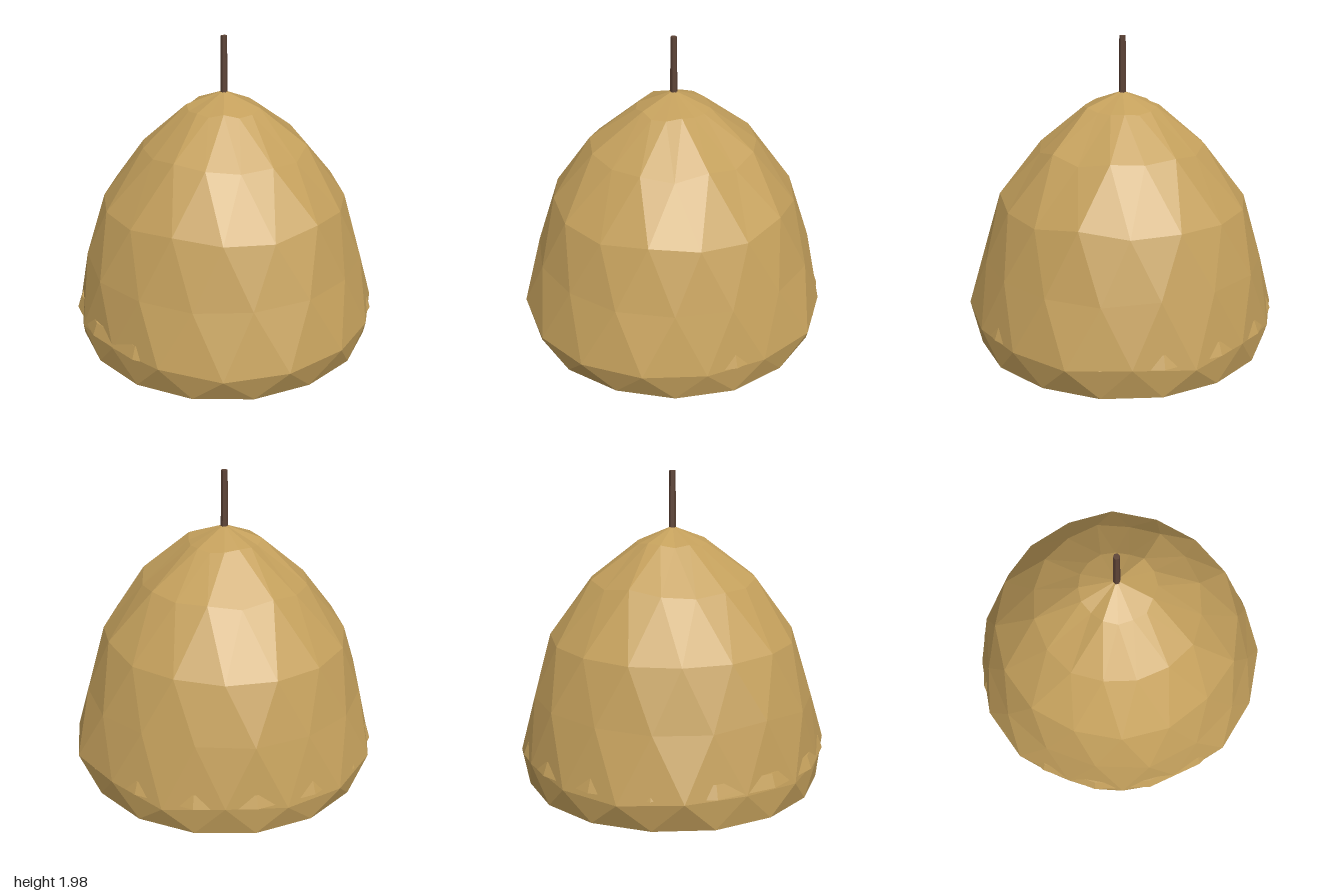
import * as THREE from 'three';

const SIDES = 16;
const STEP = (Math.PI * 2) / SIDES;

// Small seeded generator, gives -1..1
function seeded(seed) {
  let s = seed;
  return () => {
    s = (s * 16807) % 2147483647;
    return (s / 2147483647) * 2 - 1;
  };
}

// Mound skin: rings of points, every second ring turned by half a step
function moundGeometry() {
  const rand = seeded(4127);
  const bulge = [1.02, 0.99, 0.99, 1.02, 0.985, 0.995, 0.98, 0.985,
    1.005, 1.005, 0.97, 0.98, 0.965, 1.01, 1.015, 1.03];
  const rings = [
    { y: 0, r: 0.95, dr: 0.004, dy: 0 },
    { y: 0.185, r: 1, dr: 0, dy: 0.025, table: bulge },
    { y: 0.575, r: 0.905, dr: 0.022, dy: 0.025 },
    { y: 0.95, r: 0.785, dr: 0.02, dy: 0.025 },
    { y: 1.29, r: 0.53, dr: 0.015, dy: 0.025 },
    { y: 1.54, r: 0.235, dr: 0.015, dy: 0.015 },
  ];
  const pos = [];
  const index = [];
  rings.forEach((ring, i) => {
    for (let j = 0; j < SIDES; j++) {
      const a = (j + (i % 2) / 2) * STEP;
      const r = (ring.table ? ring.table[j] : ring.r) + rand() * ring.dr;
      pos.push(Math.sin(a) * r, ring.y + rand() * ring.dy, Math.cos(a) * r);
    }
  });
  const last = (rings.length - 1) * SIDES;
  const apex = pos.length / 3;
  pos.push(0, 1.635, 0, 0, 0, 0);

  for (let i = 0; i < rings.length - 1; i++) {
    for (let j = 0; j < SIDES; j++) {
      const k = (j + 1) % SIDES;
      const a = i * SIDES + j, b = i * SIDES + k;
      const c = b + SIDES, d = a + SIDES;
      if (i % 2) index.push(a, b, c, a, c, d);
      else index.push(a, b, d, b, c, d);
    }
  }
  // Tip and flat base
  for (let j = 0; j < SIDES; j++) {
    const k = (j + 1) % SIDES;
    index.push(last + j, last + k, apex, k, j, apex + 1);
  }
  const geo = new THREE.BufferGeometry();
  geo.setAttribute('position', new THREE.Float32BufferAttribute(pos, 3));
  geo.setIndex(index);
  const flat = geo.toNonIndexed();
  flat.computeVertexNormals();
  return flat;
}

export function createModel() {
  const hay = new THREE.MeshStandardMaterial({ color: 0xc4a05c });
  hay.name = 'hay';
  hay.flatShading = true;
  const wood = new THREE.MeshStandardMaterial({ color: 0x5d4336 });
  wood.name = 'poleWood';
  wood.flatShading = true;

  const model = new THREE.Group();
  model.name = 'haystack';
  const add = (name, geo, mat, y = 0) => {
    const mesh = new THREE.Mesh(geo, mat);
    mesh.name = name;
    mesh.position.set(-0.015, y, -0.015);
    model.add(mesh);
  };

  add('mound', moundGeometry(), hay);
  // Loose band of hay that just breaks through the skin near the ground
  add('lowerBand', new THREE.CylinderGeometry(0.955, 0.985, 0.08, SIDES), hay, 0.24);
  // Centre pole
  add('pole', new THREE.CylinderGeometry(0.02, 0.023, 0.42, 6), wood, 1.77);
  return model;
}
